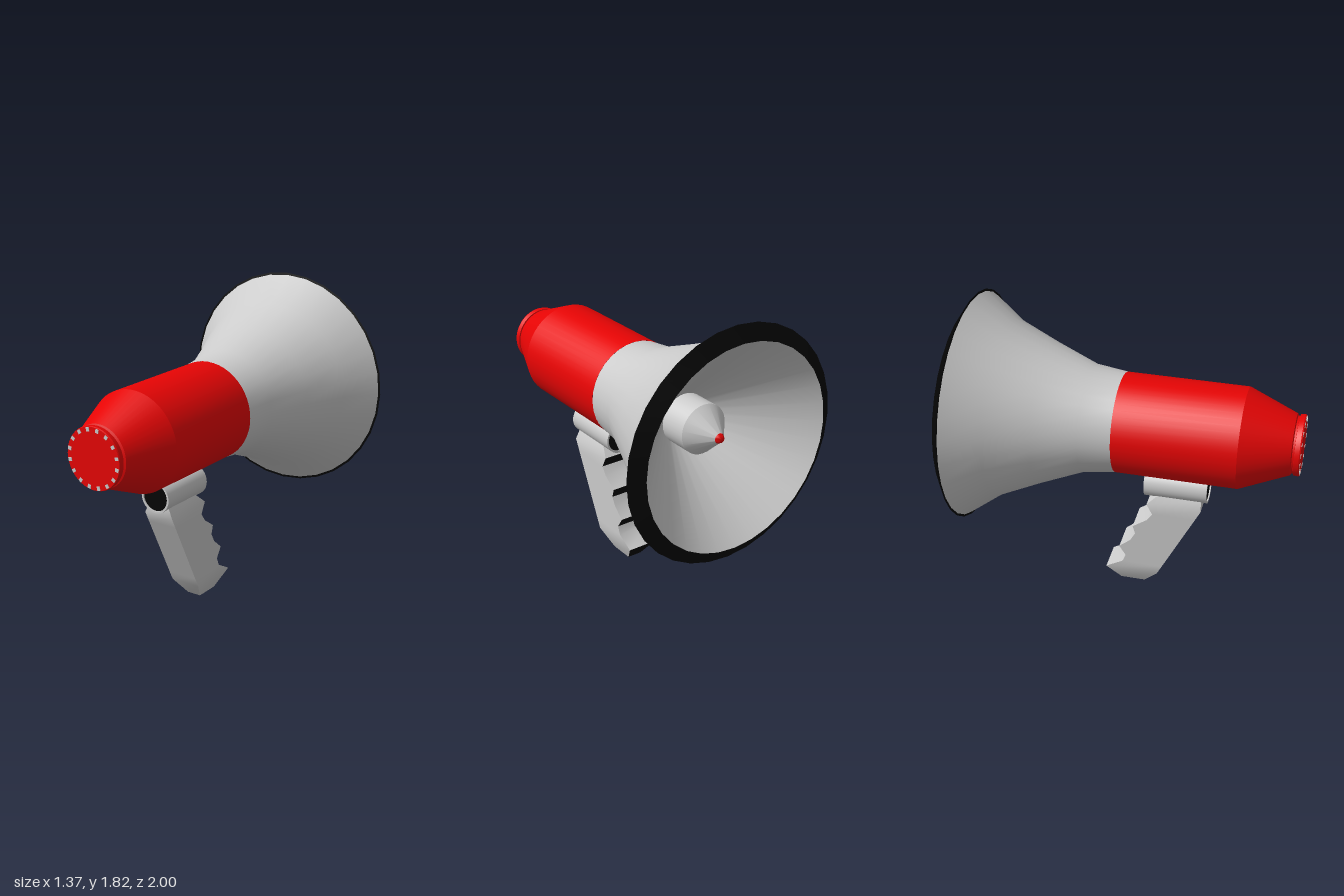
import * as THREE from 'three';
import { toCreasedNormals } from 'three/addons/utils/BufferGeometryUtils.js';

const grey = new THREE.MeshStandardMaterial({ color: 0xcccccc });
const red = new THREE.MeshStandardMaterial({ color: 0xe60404 });
const black = new THREE.MeshStandardMaterial({ color: 0x040404 });
const AXIS = 1.138;

function add(parent, name, geometry, material, x = 0, y = 0, z = 0) {
  const mesh = new THREE.Mesh(geometry, material);
  mesh.name = name;
  mesh.position.set(x, y, z);
  parent.add(mesh);
  return mesh;
}

// Surface of revolution about z; points are [radius, z], z rising for outer walls
function turned(points, sides, crease = 0.5) {
  const g = new THREE.LatheGeometry(points.map(([r, z]) => new THREE.Vector2(r, z)), sides);
  g.rotateX(Math.PI / 2);
  return toCreasedNormals(g, crease);
}

// Surface from quads, each [a, b, c, d] counter-clockwise
function quads(list) {
  const pos = list.flatMap(([a, b, c, d]) => [a, b, c, a, c, d].flat());
  const g = new THREE.BufferGeometry();
  g.setAttribute('position', new THREE.Float32BufferAttribute(pos, 3));
  g.computeVertexNormals();
  return g;
}

// Piecewise linear lookup in [key, value] pairs
function lookup(table, k) {
  const i = Math.max(1, table.findIndex(p => p[0] >= k));
  const [k0, v0] = table[i - 1], [k1, v1] = table[i];
  return THREE.MathUtils.mapLinear(k, k0, k1, v0, v1);
}

function makeHandle() {
  const handle = new THREE.Group();
  handle.name = 'handle';
  // [y, z] up the finger side, then the palm side and half width at each height
  const fingers = [[0, -0.06], [0.11, -0.145], [0.17, -0.04], [0.22, -0.02], [0.285, -0.06],
    [0.345, 0.01], [0.4, 0.04], [0.455, 0.025], [0.515, 0.11], [0.565, 0.145],
    [0.635, 0.11], [0.69, 0.17]];
  const palm = [[0, 0.09], [0.11, 0.18], [0.635, 0.44], [0.69, 0.435]];
  const half = [[0, 0.045], [0.11, 0.095], [0.635, 0.095], [0.69, 0.07]];
  const rings = fingers.map(([y, zb]) => {
    const w = lookup(half, y), zf = lookup(palm, y);
    return [[-w, y, zf], [w, y, zf], [w, y, zb], [-w, y, zb]];
  });
  const shell = [], grips = [];
  for (let i = 0; i < rings.length - 1; i++) {
    const lo = rings[i], hi = rings[i + 1];
    for (let s = 0; s < 4; s++) {
      const t = (s + 1) % 4;
      // finger faces that look downward are dark grip pads
      const pad = s === 2 && fingers[i + 1][1] < fingers[i][1];
      (pad ? grips : shell).push([lo[s], lo[t], hi[t], hi[s]]);
    }
  }
  shell.push([...rings[0]].reverse(), rings[rings.length - 1]);
  add(handle, 'handleShell', toCreasedNormals(quads(shell), 0.7), grey);
  add(handle, 'gripPads', quads(grips), black);
  return handle;
}

export function createModel() {
  const model = new THREE.Group();
  model.name = 'megaphone';

  // Red body with tapered end
  add(model, 'body', turned([[0.296, -0.06], [0.296, 0.66], [0.178, 0.945], [0.165, 0.95]], 48, 0.3), red, 0, AXIS);

  // End cap with a ring of small studs
  add(model, 'endCap', turned([[0.165, 0.94], [0.165, 0.96], [0.175, 0.962], [0.178, 0.99],
    [0.175, 0.997], [0, 0.997]], 48), red, 0, AXIS);
  const studs = new THREE.Group();
  studs.name = 'capStuds';
  studs.position.y = AXIS;
  model.add(studs);
  for (let i = 0; i < 16; i++) {
    const a = (i + 0.5) * Math.PI / 8;
    const stud = add(studs, 'stud', new THREE.BoxGeometry(0.022, 0.02, 0.02), grey,
      0.161 * Math.cos(a), 0.161 * Math.sin(a), 0.99);
    stud.rotation.z = a;
  }

  // Flared horn: outside, inside funnel and dark rim
  add(model, 'hornOuter', turned([[0.673, -0.945], [0.53, -0.75], [0.42, -0.5], [0.32, -0.25],
    [0.296, -0.06]], 32, 0.6), grey, 0, AXIS);
  add(model, 'hornInner', turned([[0.12, -0.5], [0.6, -1]], 32), grey, 0, AXIS);
  add(model, 'hornRim', turned([[0.6, -1], [0.685, -0.945], [0.67, -0.943]], 32), black, 0, AXIS);

  // Blunt sound plug with a red tip
  add(model, 'soundPlug', turned([[0.03, -0.835], [0.148, -0.7], [0.148, -0.5]], 32), grey, 0, AXIS);
  add(model, 'plugTip', turned([[0, -0.86], [0.02, -0.853], [0.03, -0.835]], 24, 1), red, 0, AXIS);

  // Mounting tube under the body, dark inside
  add(model, 'mountPad', new THREE.BoxGeometry(0.1, 0.02, 0.38), red, 0, 0.844, 0.28);
  add(model, 'mountTube', turned([[0.083, 0.1], [0.083, 0.09], [0.095, 0.09], [0.095, 0.47],
    [0.083, 0.47], [0.083, 0.46]], 32), grey, 0, 0.753);
  add(model, 'tubeCore', turned([[0, 0.098], [0.084, 0.098], [0.084, 0.462], [0, 0.462]], 32), black, 0, 0.753);

  model.add(makeHandle());
  return model;
}
